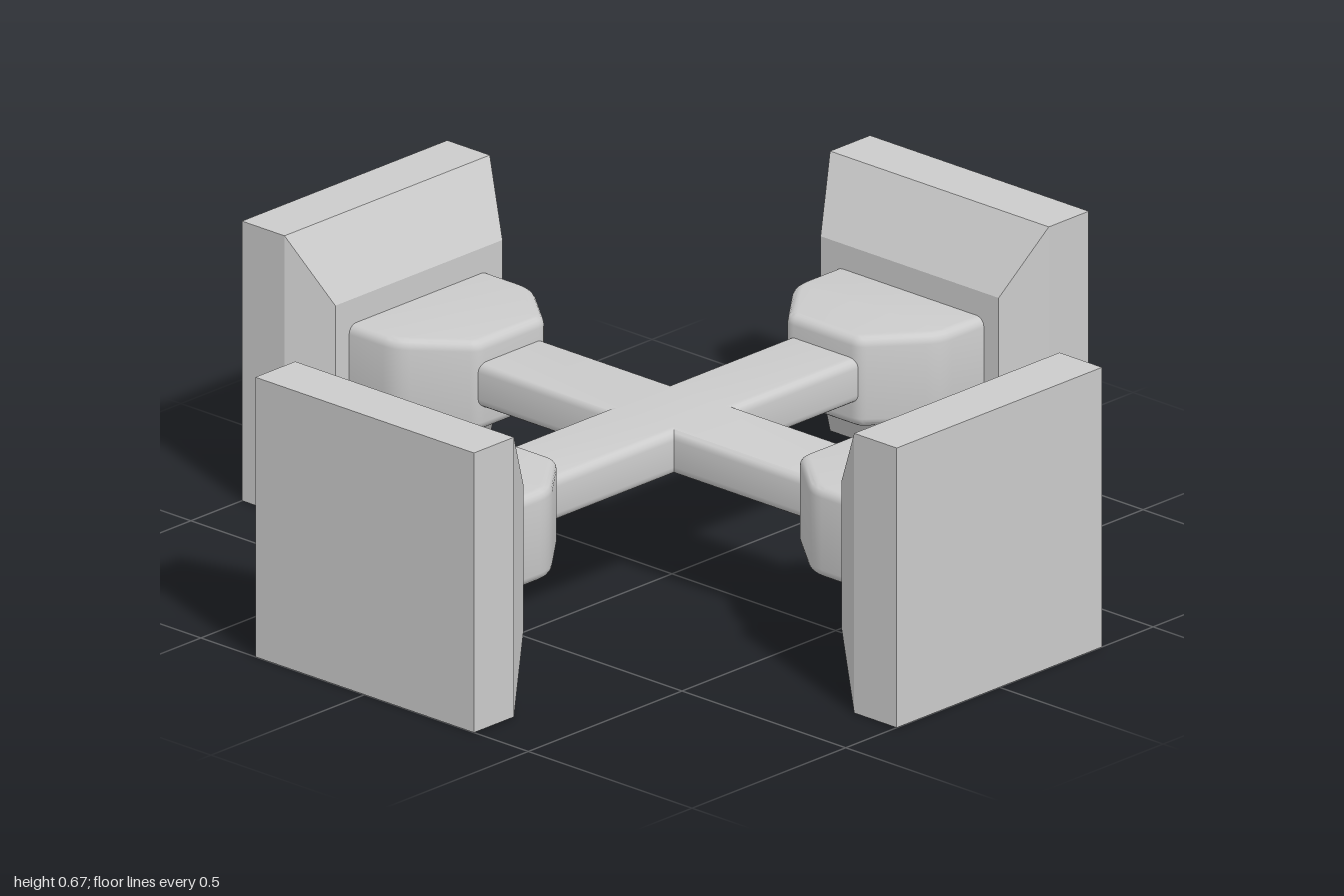
import * as THREE from 'three';
import { toCreasedNormals } from 'three/addons/utils/BufferGeometryUtils.js';

const material = new THREE.MeshStandardMaterial({ color: 0xcccccc });

// Polygon outline; corners with a third value are rounded by that distance
function outline(points) {
  const shape = new THREE.Shape();
  const n = points.length;
  points.forEach(([x, y, r = 0], i) => {
    const p = new THREE.Vector2(x, y);
    const toward = ([a, b]) => new THREE.Vector2(a, b).sub(p).setLength(r).add(p);
    const a = toward(points[(i + n - 1) % n]);
    const b = toward(points[(i + 1) % n]);
    if (i === 0) shape.moveTo(a.x, a.y);
    else shape.lineTo(a.x, a.y);
    if (r > 0) shape.quadraticCurveTo(x, y, b.x, b.y);
  });
  shape.closePath();
  return shape;
}

// Horizontal slab with softly rounded edges, between heights y0 and y1
function slab(points, y0, y1, bevel) {
  const geometry = new THREE.ExtrudeGeometry(outline(points), {
    depth: y1 - y0 - 2 * bevel,
    bevelThickness: bevel,
    bevelSize: bevel,
    bevelOffset: -bevel,
    bevelSegments: 4,
    curveSegments: 4,
  });
  geometry.rotateX(Math.PI / 2);
  geometry.translate(0, y1 - bevel, 0);
  return toCreasedNormals(geometry, 0.6);
}

// Square plate whose inner rim slopes in to a smaller rectangle
function plateGeometry() {
  const box = new THREE.BoxGeometry(0.668, 0.67, 2, 1, 1, 2);
  const pos = box.attributes.position;
  for (let i = 0; i < pos.count; i++) {
    const layer = Math.round(pos.getZ(i));
    if (layer < 0) {
      pos.setX(i, Math.sign(pos.getX(i)) * 0.272);
      pos.setY(i, Math.sign(pos.getY(i)) * 0.176);
    }
    pos.setZ(i, [0.773, 0.87, 1][layer + 1]);
  }
  box.translate(0, 0.335, 0);
  const flat = box.toNonIndexed();
  flat.computeVertexNormals();
  return flat;
}

export function createModel() {
  const group = new THREE.Group();
  const add = (parent, name, geometry) => {
    const mesh = new THREE.Mesh(geometry, material);
    mesh.name = name;
    parent.add(mesh);
  };

  // Central cross beam
  const w = 0.106, l = 0.53;
  add(group, 'crossBeam', slab([
    [w, w], [w, l], [-w, l], [-w, w], [-l, w], [-l, -w],
    [-w, -w], [-w, -l], [w, -l], [w, -w], [l, -w], [l, w],
  ], 0.293, 0.4, 0.022));

  // Tapered connector and end plate, repeated on all four sides
  const connector = slab([
    [-0.227, 0.82], [-0.227, 0.635, 0.035], [-0.108, 0.489, 0.02],
    [0.108, 0.489, 0.02], [0.227, 0.635, 0.035], [0.227, 0.82],
  ], 0.235, 0.451, 0.022);
  const plate = plateGeometry();
  ['front', 'left', 'back', 'right'].forEach((side, i) => {
    const end = new THREE.Group();
    end.name = side + 'End';
    add(end, side + 'Connector', connector);
    add(end, side + 'Plate', plate);
    end.rotation.y = i * Math.PI / 2;
    group.add(end);
  });
  return group;
}
